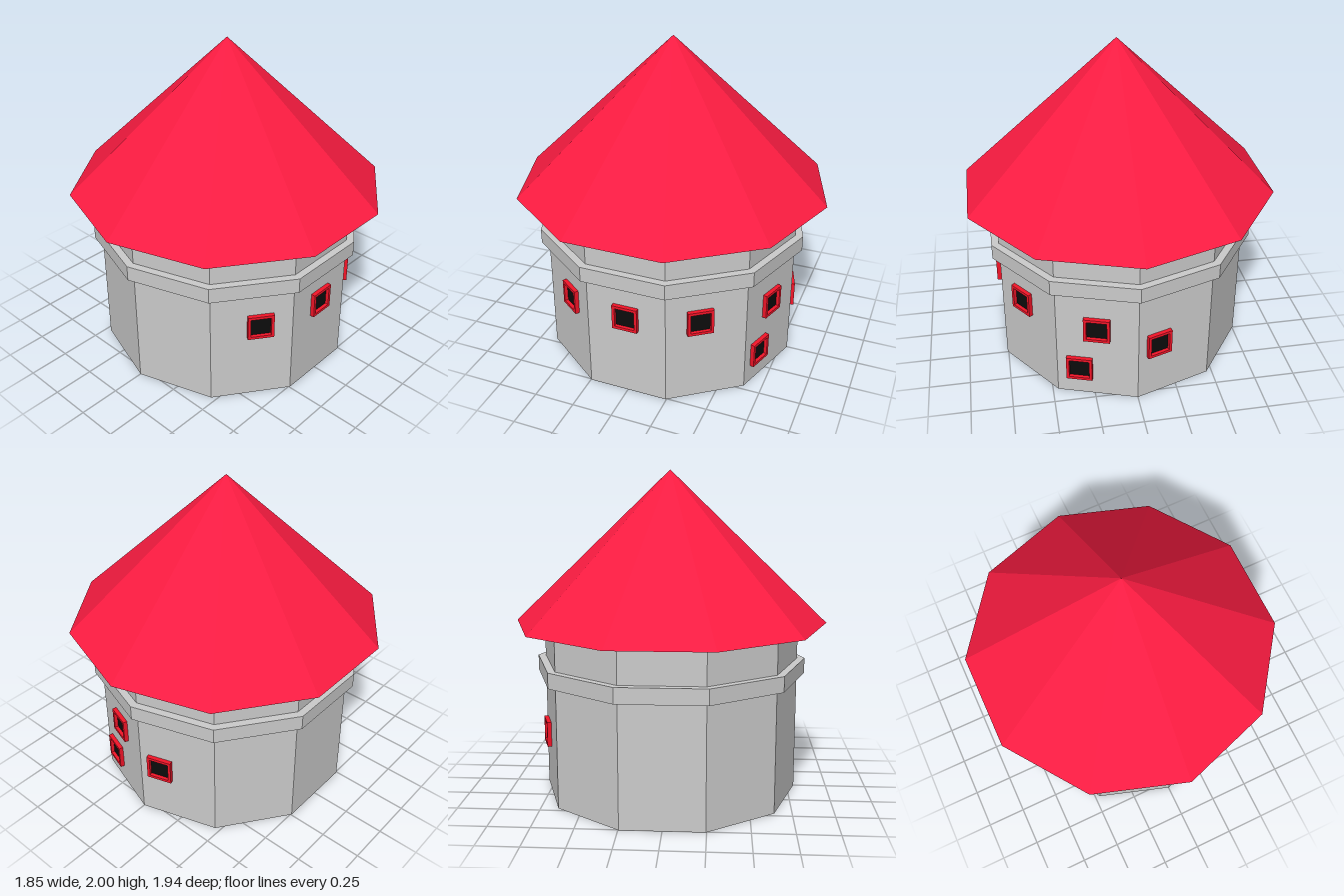
import * as THREE from 'three';

const SIDES = 10;
const APOTHEM = 0.756; // centre to the middle of a wall face

const stone = new THREE.MeshStandardMaterial({ color: 0xcccccc, flatShading: true, side: THREE.DoubleSide });
const roofRed = new THREE.MeshStandardMaterial({ color: 0xff1c42, flatShading: true });
const frameRed = new THREE.MeshStandardMaterial({ color: 0xf51428, flatShading: true });
const black = new THREE.MeshStandardMaterial({ color: 0x0c0c0c, flatShading: true });

function named(name, geometry, material) {
  const mesh = new THREE.Mesh(geometry, material);
  mesh.name = name;
  return mesh;
}

function square(ShapeType, size) {
  const h = size / 2;
  return new ShapeType([[-h, -h], [h, -h], [h, h], [-h, h]].map(([x, y]) => new THREE.Vector2(x, y)));
}

// Square frame standing proud of the wall, with a dark pane set back inside it
function createWindow() {
  const win = new THREE.Group();
  win.name = 'window';
  const outline = square(THREE.Shape, 0.157);
  outline.holes.push(square(THREE.Path, 0.122));
  win.add(named('windowFrame', new THREE.ExtrudeGeometry(outline, { depth: 0.026, bevelEnabled: false }), frameRed));
  const pane = named('windowPane', new THREE.PlaneGeometry(0.124, 0.124), black);
  pane.position.z = 0.005;
  win.add(pane);
  return win;
}

export function createModel() {
  const model = new THREE.Group();
  model.name = 'tower';

  // Ten-sided hollow wall, open below, with a raised band
  const profile = [[0.795, 0], [0.795, 0.745], [0.842, 0.745], [0.842, 0.84], [0.795, 0.84], [0.795, 1.066]]
    .map(([r, y]) => new THREE.Vector2(r, y));
  model.add(named('wall', new THREE.LatheGeometry(profile, SIDES), stone));

  // Overhanging pointed roof
  const roof = named('roof', new THREE.ConeGeometry(0.97, 0.934, SIDES), roofRed);
  roof.position.y = 1.066 + 0.467;
  model.add(roof);

  // Windows: [face angle from +z in degrees, shift along the face, height]
  const windows = [
    [54, 0.05, 0.51],
    [90, 0, 0.533],
    [126, -0.04, 0.533],
    [162, 0, 0.495],
    [162, -0.108, 0.195],
    [198, -0.112, 0.375],
  ];
  for (const [degrees, shift, y] of windows) {
    const mount = new THREE.Group();
    mount.name = 'windowMount';
    mount.rotation.y = THREE.MathUtils.degToRad(degrees);
    const win = createWindow();
    win.position.set(shift, y, APOTHEM);
    mount.add(win);
    model.add(mount);
  }
  return model;
}
